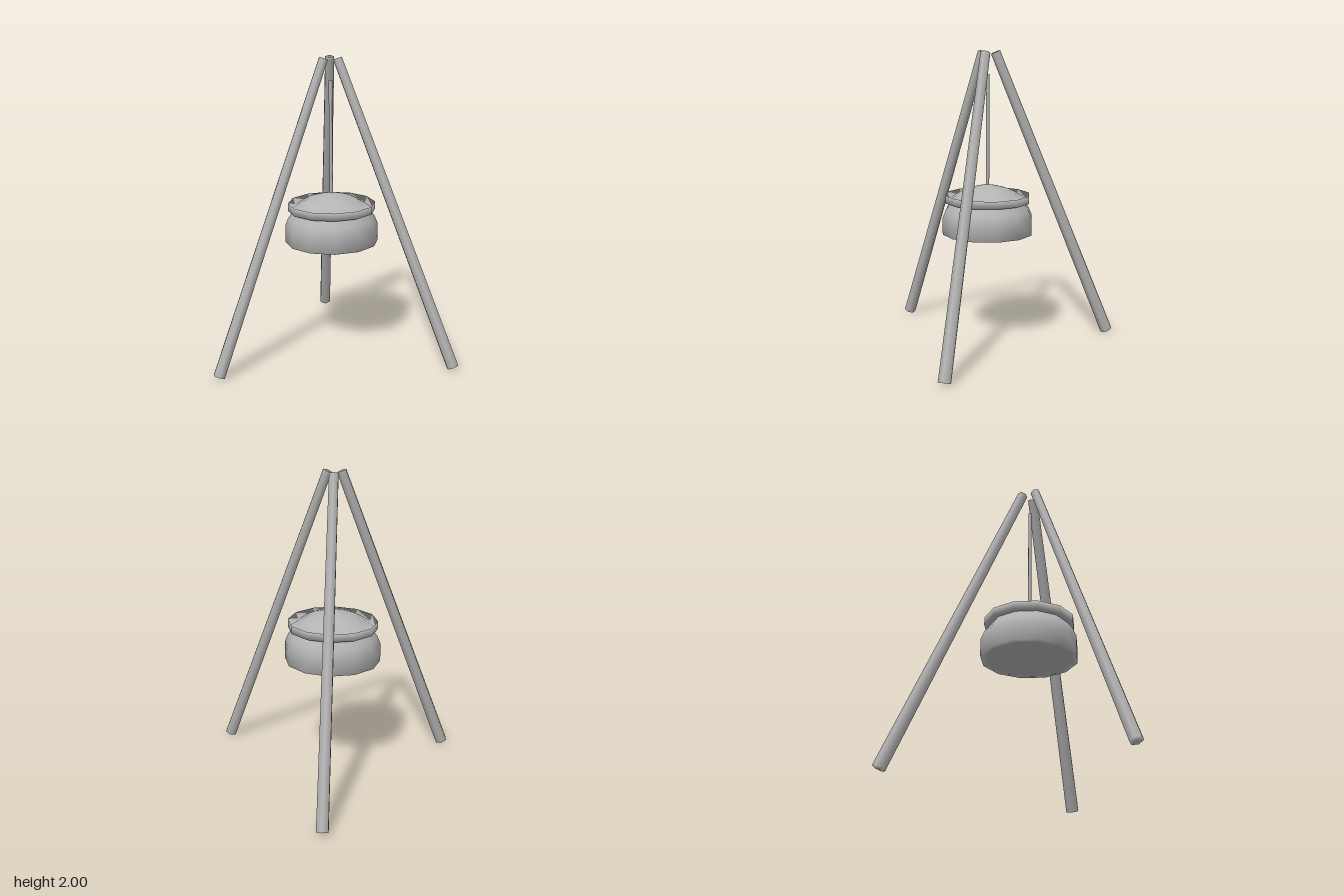
import * as THREE from 'three';

const iron = new THREE.MeshStandardMaterial({ color: 0xb4b4b4 });
iron.name = 'grey iron';

// Smooth turned part; the profile runs from the bottom axis to the top axis.
function turned(name, profile, sides, phase = 0) {
  const points = profile.map(([r, y]) => new THREE.Vector2(r, y));
  const mesh = new THREE.Mesh(new THREE.LatheGeometry(points, sides, phase), iron);
  mesh.name = name;
  return mesh;
}

export function createModel() {
  const model = new THREE.Group();
  model.name = 'campfireCookingTripod';

  // Everything hangs around the apex axis, which is off centre in x
  const axis = new THREE.Group();
  axis.name = 'tripodAxis';
  axis.position.x = -0.22;
  model.add(axis);

  // Three tapered six-sided poles leaning together at the top
  const foot = new THREE.Vector2(0.875, 0.016);
  const tip = new THREE.Vector2(0.052, 1.987);
  const length = foot.distanceTo(tip);
  for (let i = 0; i < 3; i++) {
    const leg = new THREE.Group();
    leg.name = 'leg' + (i + 1);
    leg.rotation.y = (i * Math.PI * 2) / 3;
    const pole = turned('pole', [[0, 0], [0.042, 0], [0.033, length], [0, length]], 6, Math.PI / 2);
    pole.position.set(foot.x, foot.y, 0);
    pole.rotation.z = Math.atan2(foot.x - tip.x, tip.y - foot.y);
    leg.add(pole);
    axis.add(leg);
  }

  // Hanging rod
  axis.add(turned('hangingRod', [[0, 1.09], [0.012, 1.09], [0.012, 1.845], [0, 1.845]], 6));

  // Pot: flat base, straight lower wall, shoulder narrowing to the neck
  axis.add(turned('potBase', [[0, 0.77], [0.265, 0.77]], 12));
  axis.add(turned('potBody', [
    [0.265, 0.77], [0.31, 0.77], [0.31, 0.885], [0.29, 0.935], [0.252, 0.99],
  ], 12));

  // Lid: raised rim around a shallow dome
  axis.add(turned('lid', [
    [0.245, 0.985], [0.29, 0.985], [0.29, 1.037], [0.275, 0.995],
    [0.205, 1.04], [0.15, 1.07], [0.08, 1.09], [0, 1.107],
  ], 12));

  return model;
}
